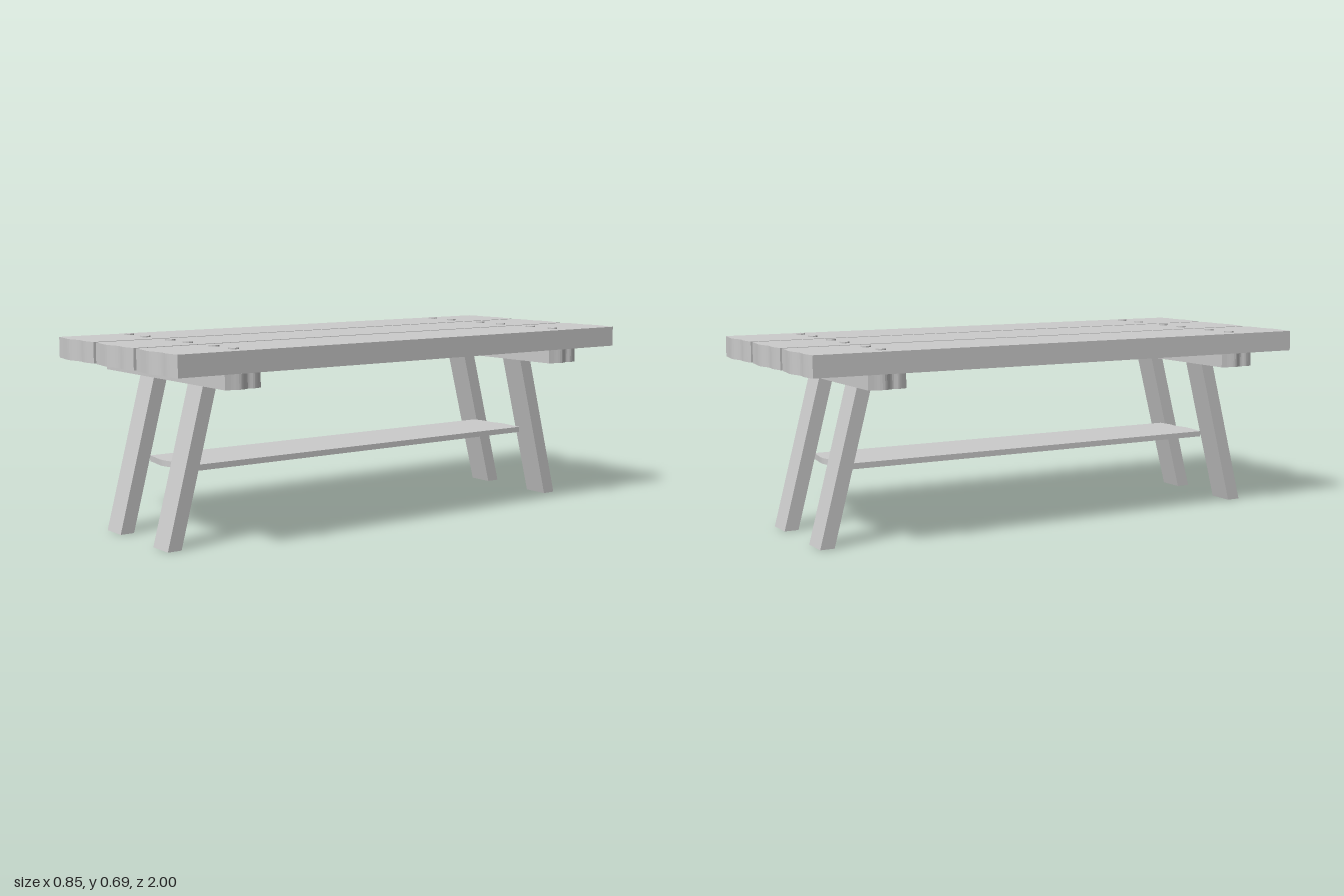
import * as THREE from 'three';

const material = new THREE.MeshStandardMaterial({ color: 0xcccccc, flatShading: true });

function add(parent, name, geometry, x = 0, y = 0, z = 0) {
  const mesh = new THREE.Mesh(geometry, material);
  mesh.name = name;
  mesh.position.set(x, y, z);
  parent.add(mesh);
  return mesh;
}

// Rough-sawn end: [position across the width 0..1, how far it falls short of full length]
const wave = [[0, 0.014], [0.15, 0.009], [0.4, 0], [0.62, 0.011], [0.8, 0.007], [1, 0.014]];

// Board along z with wavy ends, its underside on y = 0; the far end is the near end turned by 180 degrees
function boardGeometry(width, length, thickness) {
  const end = new THREE.SplineCurve(
    wave.map(([t, cut]) => new THREE.Vector2((t - 0.5) * width, length / 2 - cut))
  ).getPoints(20);
  const outline = [...end, ...end.map((p) => p.clone().negate())];
  const geometry = new THREE.ExtrudeGeometry(new THREE.Shape(outline), { depth: thickness, bevelEnabled: false });
  geometry.rotateX(Math.PI / 2);
  geometry.translate(0, thickness, 0);
  return geometry;
}

// Box leg sheared so its foot stands further out than its top
function legGeometry(height, width, depth, splay) {
  const geometry = new THREE.BoxGeometry(width, height, depth);
  geometry.translate(0, height / 2, 0);
  const pos = geometry.attributes.position;
  for (let i = 0; i < pos.count; i++) {
    pos.setZ(i, pos.getZ(i) + splay * (1 - pos.getY(i) / height));
  }
  geometry.computeVertexNormals();
  return geometry;
}

export function createModel() {
  const table = new THREE.Group();
  table.name = 'plankTable';

  // Table top
  const plank = boardGeometry(0.272, 2, 0.075);
  for (const x of [-0.292, -0.0015, 0.289]) add(table, 'topPlank', plank, x, 0.612, 0);

  // Shelf between the legs
  add(table, 'shelf', boardGeometry(0.272, 1.575, 0.021), -0.0015, 0.251, 0.01);

  const beam = boardGeometry(0.138, 0.852, 0.052);
  const bolt = new THREE.CylinderGeometry(0.018, 0.018, 0.012, 10);

  // Both end frames: cross beam, splayed legs and bolt heads
  for (const side of [1, -1]) {
    const frame = new THREE.Group();
    frame.name = side > 0 ? 'frontFrame' : 'backFrame';
    frame.position.z = 0.009 + side * 0.728;
    table.add(frame);

    add(frame, 'crossBeam', beam, 0, 0.56, 0).rotation.y = Math.PI / 2;

    const leg = legGeometry(0.561, 0.1, 0.053, side * 0.148);
    for (const x of [-0.18, 0.157]) add(frame, 'leg', leg, x, 0, 0);

    for (const x of [-0.363, -0.241, -0.06, 0.062, 0.235, 0.357]) add(frame, 'boltHead', bolt, x, 0.686, 0);
  }

  return table;
}
